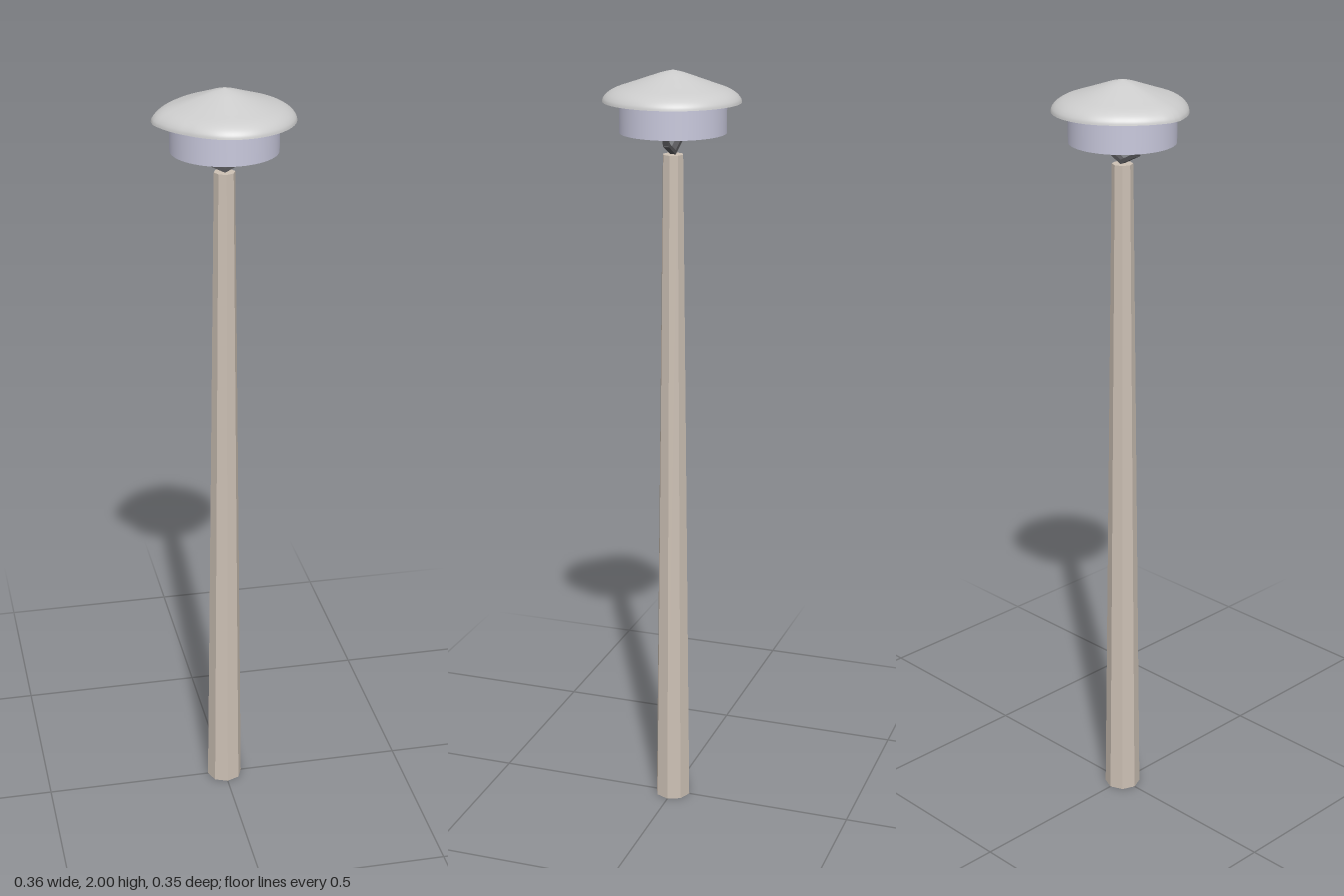
import * as THREE from 'three';

const material = (color, extra = {}) => new THREE.MeshStandardMaterial({ color, ...extra });

function addMesh(parent, name, geometry, mat) {
  const mesh = new THREE.Mesh(geometry, mat);
  mesh.name = name;
  parent.add(mesh);
  return mesh;
}

// Radius factor of the cap every 15 degrees away from the seam at -x
const FLARE = [1.035, 0.98, 0.945, 0.925, 0.942, 0.972, 0.99, 1, 1, 1, 1, 1, 1, 1];
function flare(angle) {
  if (angle < 0.01) return 1.015; // small notch at the seam
  const step = angle / (Math.PI / 12);
  const i = Math.min(Math.floor(step), FLARE.length - 2);
  return THREE.MathUtils.lerp(FLARE[i], FLARE[i + 1], step - i);
}

// Hollow domed cap with a pinched seam on one side
function capGeometry() {
  const profile = new THREE.SplineCurve([
    [0.177, 1.923], [0.174, 1.932], [0.164, 1.943], [0.145, 1.954],
    [0.11, 1.966], [0.06, 1.983], [0.03, 1.993], [0.0001, 2],
  ].map(([x, y]) => new THREE.Vector2(x, y))).getPoints(28);
  const geometry = new THREE.LatheGeometry(profile, 72, -Math.PI / 2);
  const p = geometry.attributes.position;
  for (let i = 0; i < p.count; i++) {
    const x = p.getX(i), z = p.getZ(i);
    const f = flare(Math.atan2(Math.abs(z), -x));
    p.setX(i, x * f);
    p.setZ(i, z * f);
  }
  geometry.computeVertexNormals();
  return geometry;
}

export function createModel() {
  const model = new THREE.Group();
  model.name = 'lampPost';

  // Tapered octagonal post
  const postHeight = 1.79;
  const post = addMesh(model, 'post',
    new THREE.CylinderGeometry(0.027, 0.048, postHeight, 8),
    material(0xccc0b4, { flatShading: true }));
  post.position.y = postHeight / 2;

  // Bent bracket arms, mirrored left and right
  const bracket = new THREE.Group();
  bracket.name = 'bracket';
  model.add(bracket);
  const dark = material(0x555558);
  const path = [[0, 1.795], [0.05, 1.82], [0.063, 1.855], [0.045, 1.905], [0.03, 1.98]];
  for (const side of [-1, 1]) {
    for (let i = 0; i < path.length - 1; i++) {
      const [x0, y0] = path[i], [x1, y1] = path[i + 1];
      const dx = (x1 - x0) * side, dy = y1 - y0;
      const bar = addMesh(bracket, 'bracketBar',
        new THREE.BoxGeometry(0.01, Math.hypot(dx, dy) + 0.006, 0.015), dark);
      bar.position.set(side * (x0 + x1) / 2, (y0 + y1) / 2, 0);
      bar.rotation.z = Math.atan2(-dx, dy);
    }
  }

  // Open ring shade reaching up under the cap
  const shade = addMesh(model, 'shadeRing',
    new THREE.CylinderGeometry(0.135, 0.135, 0.105, 64, 1, true),
    material(0xc8c8dc, { side: THREE.DoubleSide }));
  shade.position.y = 1.8975;

  addMesh(model, 'cap', capGeometry(), material(0xcccccc, { side: THREE.DoubleSide }));
  return model;
}
